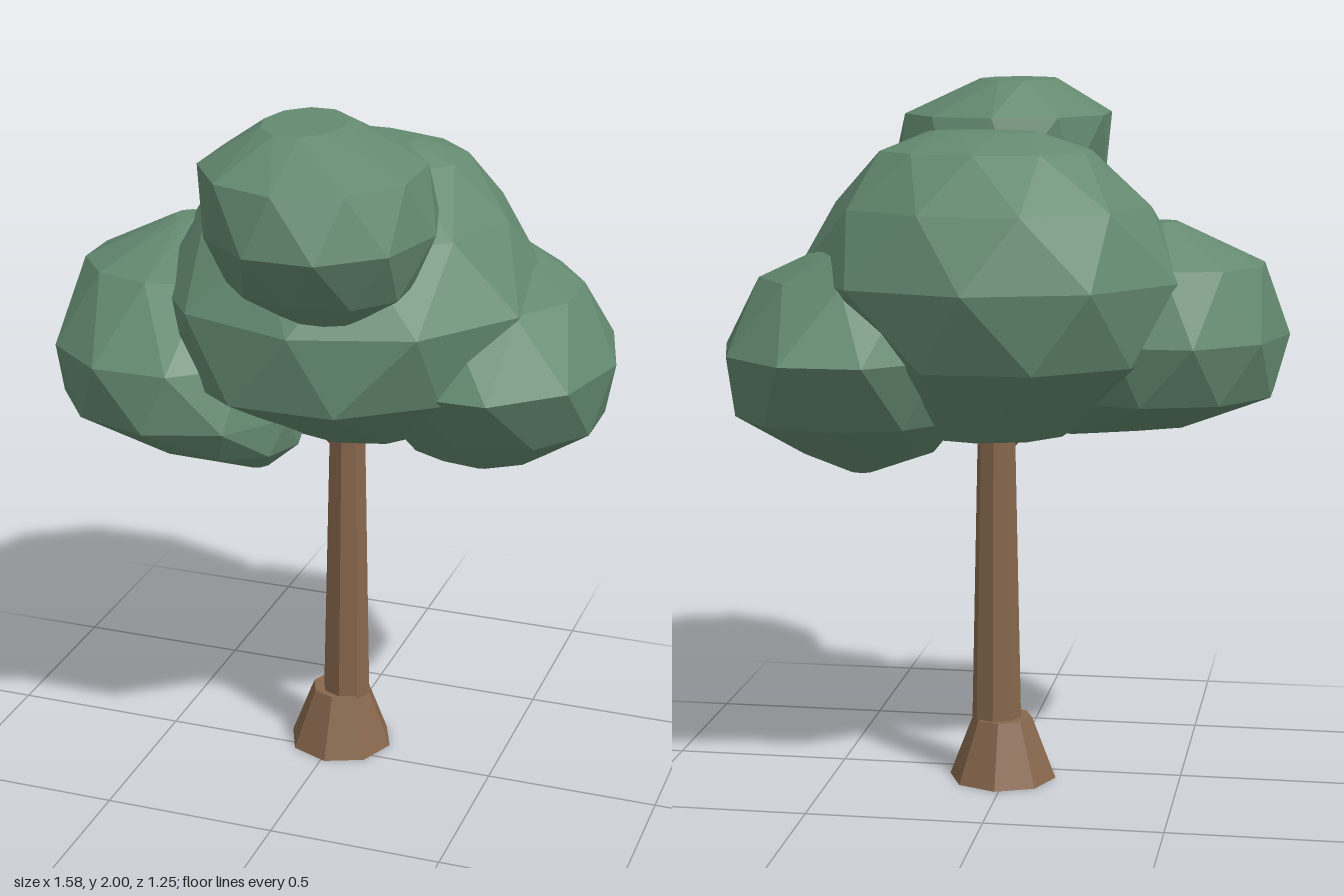
import * as THREE from 'three';
import { ConvexGeometry } from 'three/addons/geometries/ConvexGeometry.js';

const leaf = new THREE.MeshStandardMaterial({ color: 0x648a70, flatShading: true });
const bark = new THREE.MeshStandardMaterial({ color: 0x87674d, flatShading: true });

// Faceted leaf mass: a hull over staggered oval rings, each [y, xMin, xMax, zMin, zMax]
function leafMass(name, rings, sides = 10) {
  const points = [];
  rings.forEach(([y, x0, x1, z0, z1], ring) => {
    for (let i = 0; i < sides; i++) {
      const a = ((i + (ring % 2) / 2) / sides) * Math.PI * 2;
      points.push(new THREE.Vector3(
        (x0 + x1) / 2 + Math.cos(a) * 0.515 * (x1 - x0),
        y,
        (z0 + z1) / 2 + Math.sin(a) * 0.515 * (z1 - z0)
      ));
    }
  });
  const mesh = new THREE.Mesh(new ConvexGeometry(points), leaf);
  mesh.name = name;
  return mesh;
}

// Tapered limb between two points
function limb(name, from, to, r0, r1, sides) {
  const a = new THREE.Vector3(...from);
  const b = new THREE.Vector3(...to);
  const dir = b.clone().sub(a);
  const mesh = new THREE.Mesh(new THREE.CylinderGeometry(r1, r0, dir.length(), sides), bark);
  mesh.position.copy(a).add(b).multiplyScalar(0.5);
  mesh.quaternion.setFromUnitVectors(new THREE.Vector3(0, 1, 0), dir.normalize());
  mesh.name = name;
  return mesh;
}

export function createModel() {
  const tree = new THREE.Group();
  tree.name = 'tree';

  // Trunk with a flared foot
  tree.add(limb('rootFlare', [0.012, 0, -0.077], [0.012, 0.18, -0.077], 0.155, 0.086, 8));
  tree.add(limb('trunk', [0.03, 0.1, -0.075], [0.03, 1.2, -0.075], 0.073, 0.05, 8));

  // Branches reaching into the leaves
  const tips = { leftBranch: [0.33, 1.25, -0.15], rightBranch: [-0.27, 1.25, 0.02], frontBranch: [0.06, 1.6, 0.2] };
  for (const [name, tip] of Object.entries(tips)) {
    tree.add(limb(name, [0.03, 0.97, -0.075], tip, 0.035, 0.022, 5));
  }

  // Crown: one large mass and three smaller ones
  tree.add(leafMass('mainCrown', [
    [1.87, -0.1, 0.2, -0.25, -0.07],
    [1.82, -0.25, 0.33, -0.4, 0.03],
    [1.67, -0.4, 0.46, -0.55, 0.26],
    [1.47, -0.51, 0.58, -0.62, 0.43],
    [1.25, -0.46, 0.48, -0.55, 0.43],
    [1.03, -0.18, 0.27, -0.33, 0.06],
  ]));
  tree.add(leafMass('rightCrown', [
    [1.62, -0.48, -0.38, -0.1, 0],
    [1.5, -0.72, -0.2, -0.25, 0.22],
    [1.3, -0.78, -0.1, -0.34, 0.41],
    [1.13, -0.75, -0.05, -0.28, 0.41],
    [1.03, -0.53, -0.06, -0.08, 0.3],
    [0.98, -0.2, -0.12, 0.12, 0.2],
  ]));
  tree.add(leafMass('leftCrown', [
    [1.57, 0.27, 0.45, -0.4, -0.15],
    [1.47, 0.1, 0.67, -0.48, 0.12],
    [1.27, 0.06, 0.775, -0.62, 0.26],
    [1.08, 0.1, 0.74, -0.5, 0.1],
    [0.97, 0.2, 0.58, -0.3, -0.04],
    [0.91, 0.37, 0.43, -0.2, -0.16],
  ]));
  tree.add(leafMass('topCrown', [
    [2, -0.1, 0.12, 0.07, 0.37],
    [1.9, -0.25, 0.34, -0.06, 0.57],
    [1.74, -0.23, 0.38, -0.1, 0.62],
    [1.58, -0.17, 0.32, 0.08, 0.5],
    [1.51, 0, 0.2, 0.28, 0.42],
  ]));
  return tree;
}
